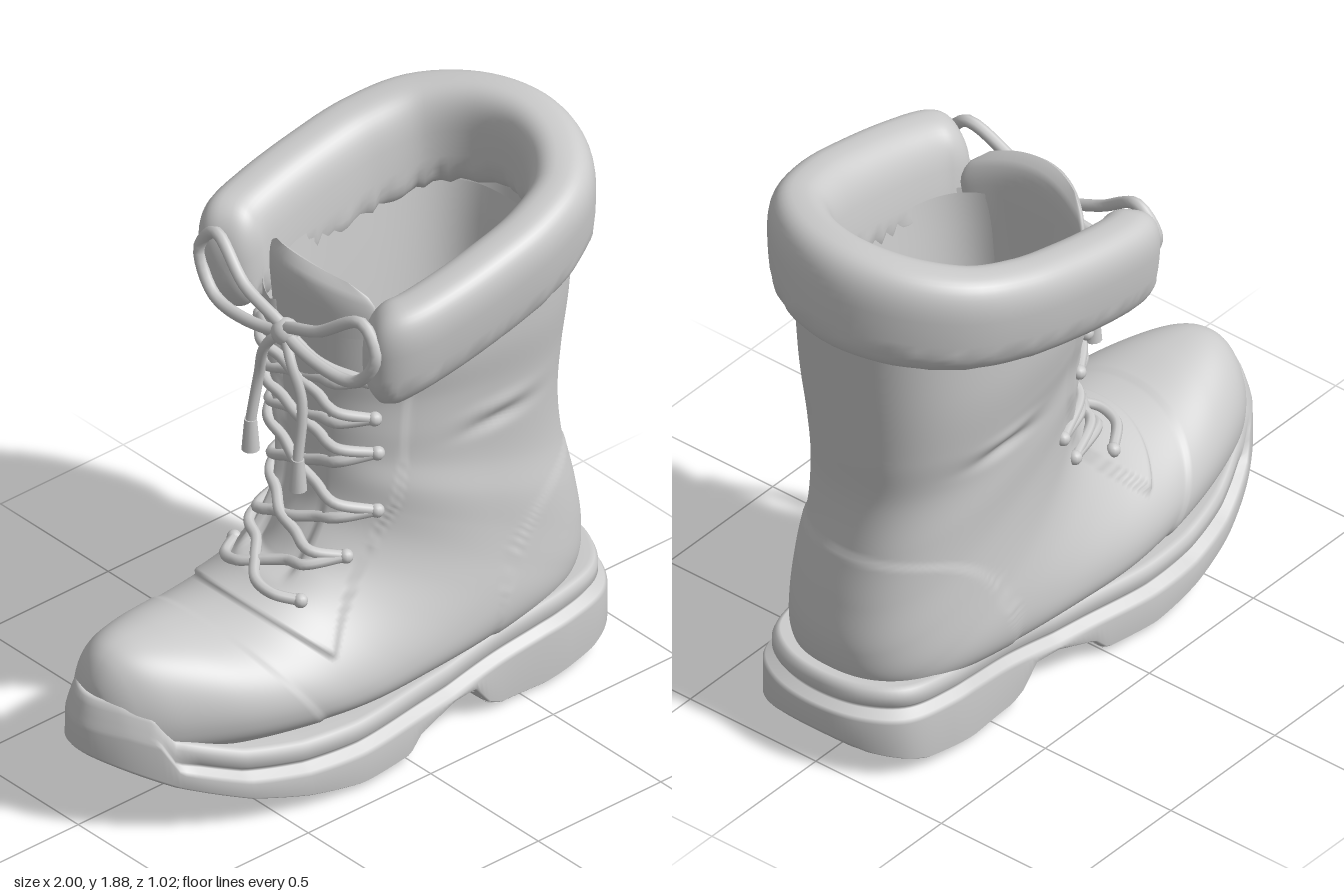
import * as THREE from 'three';

const V = (x, y, z) => new THREE.Vector3(x, y, z);
const mat = new THREE.MeshStandardMaterial({ color: 0xcccccc, side: THREE.DoubleSide });
const smooth = THREE.MathUtils.smoothstep;

// Piecewise-linear lookup in a short table of [input, output] pairs
function lookup(table, x) {
  if (x <= table[0][0]) return table[0][1];
  for (let i = 1; i < table.length; i++) {
    const [x0, y0] = table[i - 1], [x1, y1] = table[i];
    if (x <= x1) return y0 + (y1 - y0) * (x - x0) / (x1 - x0);
  }
  return table[table.length - 1][1];
}

// Skin over rows of points; every row is a closed ring
function loft(rows) {
  const n = rows[0].length, pos = [], idx = [];
  rows.forEach(r => r.forEach(p => pos.push(p.x, p.y, p.z)));
  for (let r = 0; r < rows.length - 1; r++) for (let c = 0; c < n; c++) {
    const a = r * n + c, b = r * n + (c + 1) % n;
    idx.push(a, b, a + n, b, b + n, a + n);
  }
  const g = new THREE.BufferGeometry();
  g.setAttribute('position', new THREE.Float32BufferAttribute(pos, 3));
  g.setIndex(idx);
  g.computeVertexNormals();
  return g;
}

const ring = (n, f) => Array.from({ length: n }, (_, i) => f(i / n * Math.PI * 2));
const spow = (v, e) => Math.sign(v) * Math.abs(v) ** e;

// Sections fanning from toe to shaft: front x, y, back x, y, half width, z centre
const sections = [
  [-0.95, 0.40, -0.945, 0.34, 0.02, 0], [-0.94, 0.49, -0.925, 0.29, 0.085, 0],
  [-0.895, 0.565, -0.865, 0.26, 0.155, 0], [-0.82, 0.597, -0.74, 0.24, 0.225, 0.005],
  [-0.69, 0.595, -0.52, 0.22, 0.30, 0.015], [-0.53, 0.577, -0.27, 0.21, 0.352, 0.02],
  [-0.41, 0.583, -0.05, 0.20, 0.37, 0.02], [-0.30, 0.62, 0.20, 0.20, 0.365, 0.02],
  [-0.22, 0.69, 0.50, 0.20, 0.35, 0.02], [-0.17, 0.76, 0.77, 0.22, 0.335, 0.02],
  [-0.13, 0.83, 0.89, 0.28, 0.32, 0.02], [-0.11, 0.90, 0.92, 0.40, 0.31, 0.02],
  [-0.10, 0.98, 0.90, 0.56, 0.305, 0.02], [-0.10, 1.06, 0.865, 0.74, 0.30, 0.01],
  [-0.10, 1.15, 0.845, 0.92, 0.305, 0.01], [-0.10, 1.25, 0.86, 1.10, 0.325, 0],
  [-0.10, 1.35, 0.88, 1.32, 0.35, 0], [-0.10, 1.48, 0.90, 1.62, 0.36, 0]];
const frontCurve = new THREE.CatmullRomCurve3(sections.map(s => V(s[0], s[1], s[4])), false, 'catmullrom');
const backCurve = new THREE.CatmullRomCurve3(sections.map(s => V(s[2], s[3], s[5])), false, 'catmullrom');
const facingEdge = [[0.45, -0.25], [0.6, -0.1], [0.72, 0], [0.85, 0.07], [1, 0.1], [1.5, 0.11]];

// Raised leather panels, recessed tongue slot and ankle creases
function relief(p, u) {
  let h = 0.007 * (1 - smooth(u, 0.291, 0.297));
  const facing = Math.min(lookup(facingEdge, p.y) - p.x, p.y - 0.45 + 0.9 * (p.x + 0.25));
  const slot = smooth(p.y, 0.62, 0.68) * (1 - smooth(Math.abs(p.z), 0.1, 0.13));
  h += smooth(facing, 0, 0.02) * (0.016 - 0.04 * slot);
  const hx = Math.max((0.9 - p.x) / 0.5, 0), hy = Math.max((p.y - 0.22) / 0.51, 0);
  h += 0.007 * smooth(p.x, 0.2, 0.38) * (1 - smooth(hx ** 2.2 + hy ** 2.2, 0.95, 1.03));
  for (const [cx, cy, k] of [[0.45, 1.03, -0.016], [0.45, 1.09, 0.008]])
    h += k * Math.exp(-(((p.x - cx) / 0.13) ** 2) - ((p.y - cy) / 0.025) ** 2);
  return h;
}

function upperRows() {
  const rows = [];
  for (let i = 0; i <= 220; i++) {
    const u = i / 220, A = frontCurve.getPoint(u), B = backCurve.getPoint(u);
    const mid = V((A.x + B.x) / 2, (A.y + B.y) / 2, B.z);
    const shaft = smooth(u, 0.4, 0.75);
    const k = 0.35 * (1 - shaft), e = 0.92 - 0.12 * shaft;
    rows.push(ring(176, t => {
      const s = spow(Math.cos(t), e) - k * Math.sin(t) ** 2;
      const p = V(mid.x + (A.x - B.x) / 2 * s, mid.y + (A.y - B.y) / 2 * s,
        mid.z + A.z * spow(Math.sin(t), e));
      return p.addScaledVector(p.clone().sub(mid).normalize(), relief(p, u));
    }));
  }
  return rows;
}

// Sole: outline seen from above, with top and bottom heights along x
const outline = new THREE.CatmullRomCurve3([
  [-1, -0.01], [-0.95, -0.12], [-0.8, -0.235], [-0.6, -0.32], [-0.4, -0.36], [-0.2, -0.365], [0.1, -0.325],
  [0.4, -0.295], [0.7, -0.3], [0.88, -0.26], [0.97, -0.14], [1, 0.03], [0.97, 0.19], [0.88, 0.31],
  [0.7, 0.36], [0.4, 0.365], [0.1, 0.395], [-0.2, 0.425], [-0.4, 0.405], [-0.6, 0.355], [-0.8, 0.255], [-0.95, 0.11]
].map(([x, z]) => V(x, 0, z)), true);
const soleTop = [[-1, 0.475], [-0.92, 0.46], [-0.85, 0.43], [-0.8, 0.335], [-0.6, 0.265], [-0.4, 0.235],
  [-0.2, 0.23], [0.2, 0.245], [0.6, 0.295], [1, 0.32]];
const soleBottom = [[-1, 0.27], [-0.8, 0.165], [-0.6, 0.09], [-0.4, 0.04], [-0.2, 0.01], [0, 0.015], [0.05, 0.065],
  [0.2, 0.11], [0.3, 0.11], [0.36, 0.035], [0.41, 0.01], [0.6, 0.005], [0.8, 0.03], [0.95, 0.08], [1, 0.12]];

function soleRows() {
  const base = outline.getSpacedPoints(240).slice(0, 240);
  const row = (inset, toeInset, s, height) => base.map(p => {
    const d = lookup([[-0.86, toeInset], [-0.76, inset]], p.x);
    const x = p.x * (s - d), z = 0.03 + (p.z - 0.03) * (s - d / 0.4);
    return V(x, height(x, z), z);
  });
  // Inset, inset at the toe bumper, height table and offset from it
  const side = (d, toe, table, dy) => row(d, toe, 1, x => lookup(table, x) + dy);
  const rows = [side(0.15, 0.1, soleTop, -0.01), side(0.05, 0.045, soleTop, 0), side(0.035, 0.033, soleTop, -0.008),
    side(0.026, 0.024, soleTop, -0.03), side(0.026, 0.015, soleTop, -0.06), side(0.042, 0.011, soleTop, -0.075),
    side(0.042, 0.008, soleTop, -0.085), side(0.008, 0.005, soleTop, -0.098), side(0, 0.002, soleTop, -0.112),
    side(0, 0, soleBottom, 0.016), side(0.01, 0.008, soleBottom, 0.008), side(0.03, 0.02, soleBottom, 0.002)];
  // Rough tread under the ball and the heel
  const tread = (x, z) => lookup(soleBottom, x) + (x > 0 && x < 0.4 ? 0 :
    0.009 * (1 + Math.sin(62 * x + 3 * Math.sin(31 * z)) * Math.sin(70 * z + 3 * Math.sin(27 * x))));
  for (let i = 0; i <= 28; i++) rows.push(row(0, 0, 0.95 * (1 - i / 28), tread));
  return rows;
}

// Padded collar: a thick roll round the opening with blunt front ends
function cuffRows() {
  const half = [[-0.12, 0.325], [-0.03, 0.375], [0.1, 0.395], [0.3, 0.4], [0.5, 0.385], [0.68, 0.32], [0.8, 0.18]];
  const path = new THREE.CatmullRomCurve3([...half.map(([x, z]) => V(x, 0, -z)), V(0.845, 0, 0),
    ...half.slice().reverse().map(([x, z]) => V(x, 0, z))]);
  const rows = [], N = 110;
  for (let i = 0; i <= N; i++) {
    const u = 0.5 - Math.cos(i / N * Math.PI) / 2, c = path.getPointAt(u), T = path.getTangentAt(u);
    const out = V(0, 1, 0).cross(T).normalize();
    const e = Math.min(1, Math.min(u, 1 - u) / 0.045), s = Math.max(0, 1 - (1 - e) ** 2.4) ** 0.42;
    const y = 1.515 + 0.2 * (c.x + 0.03) / 0.9, skew = 0.035 * out.z ** 2 - 0.012;
    rows.push(ring(48, t => {
      const h = spow(Math.sin(t), 0.68), w = spow(Math.cos(t), 0.78);
      const fur = h < -0.5 ? 0.005 * Math.sin(u * 210 + 2 * Math.sin(u * 77)) : 0;
      return c.clone().addScaledVector(out, s * (0.105 * w + skew * h + fur)).setY(y + s * (0.18 * h + fur));
    }));
  }
  return rows;
}

// Curved tongue rising between the collar ends
function tongueRows() {
  const rows = [];
  for (let i = 0; i <= 24; i++) {
    const v = i / 24, s = Math.sqrt(Math.max(0, 1 - (Math.max(0, v - 0.8) / 0.2) ** 2));
    rows.push(ring(48, t => {
      const z = (0.17 + 0.09 * v) * (0.65 + 0.35 * s) * Math.sin(t);
      return V(-0.06 - 0.025 * v + 1.5 * z * z - (0.03 + 0.015 * v) * Math.cos(t) * s, 1.15 + 0.54 * v - z * z, z);
    }));
  }
  return rows;
}

// Inner lining tapering down to the insole: height, front x, back x, half width
function liningRows() {
  return [[1.52, -0.03, 0.78, 0.3], [1.4, -0.03, 0.76, 0.285], [1.1, -0.03, 0.73, 0.25], [0.75, -0.05, 0.73, 0.23],
    [0.45, -0.06, 0.72, 0.21], [0.4, -0.02, 0.68, 0.18], [0.39, 0.33, 0.33, 0]].map(([y, x0, x1, w]) =>
    ring(64, t => V((x0 + x1) / 2 - (x1 - x0) / 2 * spow(Math.cos(t), 0.65), y, w * spow(Math.sin(t), 0.65))));
}

export function createModel() {
  const model = new THREE.Group();
  const add = (name, geo, parent = model) => {
    const m = new THREE.Mesh(geo, mat);
    m.name = name;
    parent.add(m);
    return m;
  };
  const tube = (pts, r, closed = false) =>
    new THREE.TubeGeometry(new THREE.CatmullRomCurve3(pts, closed), pts.length * 6, r, 8, closed);

  const rows = upperRows();
  add('upper', loft(rows));
  add('sole', loft(soleRows()));
  add('cuff', loft(cuffRows()));
  add('tongue', loft(tongueRows()));
  add('lining', loft(liningRows()));

  // Laces follow the front of the boot
  const laces = new THREE.Group();
  laces.name = 'laces';
  model.add(laces);
  const skin = rows.flat().filter(p => p.x > -0.42 && p.x < 0.25 && p.y > 0.5);
  const frontAt = (y, z) => {
    let best = null, d = Infinity;
    for (const p of skin) {
      const q = (p.y - y) ** 2 + (p.z - z) ** 2;
      if (q < d) { d = q; best = p; }
    }
    return V(best.x - 0.012, y + 0.01, z);
  };
  const eyelets = [[0.6, 0.2], [0.7, 0.22], [0.84, 0.25], [1.05, 0.25], [1.18, 0.25], [1.33, 0.25]];
  for (const side of [-1, 1]) {
    eyelets.forEach(([y, z], i) => {
      const hook = add('eyelet', new THREE.SphereGeometry(0.024, 12, 8), laces);
      hook.position.copy(frontAt(y, side * z));
      if (i === eyelets.length - 1) return;
      const [y2, z2] = eyelets[i + 1], pts = [];
      for (let j = 0; j <= 6; j++) {
        const f = j / 6, p = frontAt(y + (y2 - y) * f, side * (z - (z + z2) * f));
        p.x -= Math.sin(f * Math.PI) * (side > 0 ? 0.018 : 0);
        pts.push(p);
      }
      add('crossLace', tube(pts, 0.018), laces);
    });
    // Bow loop, strand to the knot and hanging end
    add('bowLoop', tube([V(-0.16, 1.46, 0), V(-0.17, 1.54, side * 0.17), V(-0.14, 1.64, side * 0.34),
      V(-0.145, 1.55, side * 0.41), V(-0.16, 1.43, side * 0.33), V(-0.17, 1.42, side * 0.15)], 0.02, true), laces);
    add('topLace', tube([frontAt(1.33, side * 0.25), V(-0.12, 1.38, side * 0.12), V(-0.15, 1.45, 0)], 0.018), laces);
    const drop = side > 0 ? 0 : 0.04;
    add('laceEnd', tube([V(-0.16, 1.46, 0), V(-0.185, 1.38, side * 0.06), V(-0.175, 1.25, side * 0.1),
      V(-0.2, 1.05 + drop, side * 0.11)], 0.017), laces);
    const tip = add('laceTip', new THREE.CylinderGeometry(0.02, 0.029, 0.11, 12), laces);
    tip.position.set(-0.2, 1.0 + drop, side * 0.11);
  }
  const knot = add('knot', new THREE.SphereGeometry(0.045, 16, 12), laces);
  knot.position.set(-0.155, 1.45, 0);
  return model;
}
